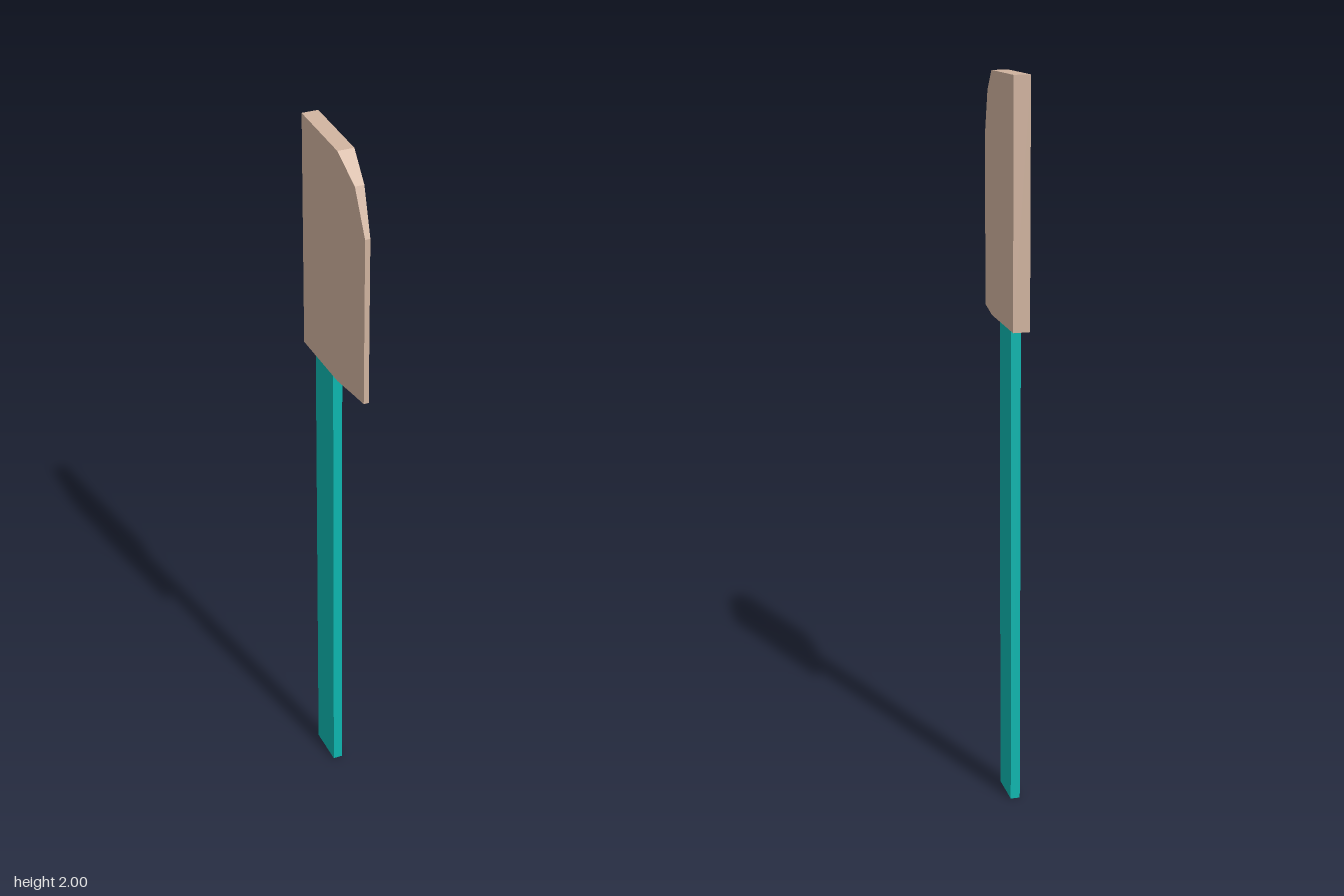
import * as THREE from 'three';

// Solid lofted through rectangular stations along z: [z, halfWidth, bottom, top]
function loft(stations) {
  const rings = stations.map(([z, w, b, t]) => [[w, t, z], [-w, t, z], [-w, b, z], [w, b, z]]);
  const pos = [];
  const quad = (a, b, c, d) => pos.push(...a, ...b, ...c, ...a, ...c, ...d);
  for (let s = 0; s < rings.length - 1; s++) {
    for (let i = 0; i < 4; i++) {
      const j = (i + 1) % 4;
      quad(rings[s][i], rings[s][j], rings[s + 1][j], rings[s + 1][i]);
    }
  }
  quad(...rings[0].slice().reverse());
  quad(...rings[rings.length - 1]);
  const geo = new THREE.BufferGeometry();
  geo.setAttribute('position', new THREE.Float32BufferAttribute(pos, 3));
  geo.computeVertexNormals();
  return geo;
}

export function createModel() {
  const group = new THREE.Group();
  const tan = new THREE.MeshStandardMaterial({ color: 0xd0b39f });
  tan.name = 'tan';
  const teal = new THREE.MeshStandardMaterial({ color: 0x0db6af });
  teal.name = 'teal';

  // Flat blade, thinning toward its rounded front edge
  const blade = new THREE.Mesh(loft([
    [-0.174, 0.0225, 1.345, 2.0],
    [0.044, 0.0225, 1.345, 1.99],
    [0.125, 0.0125, 1.345, 1.93],
    [0.174, 0.007, 1.345, 1.81],
  ]), tan);
  blade.name = 'blade';

  // Straight handle, set behind the middle
  const handle = new THREE.Mesh(new THREE.BoxGeometry(0.026, 1.345, 0.114), teal);
  handle.position.set(-0.001, 0.6725, -0.059);
  handle.name = 'handle';

  group.add(blade, handle);
  return group;
}
